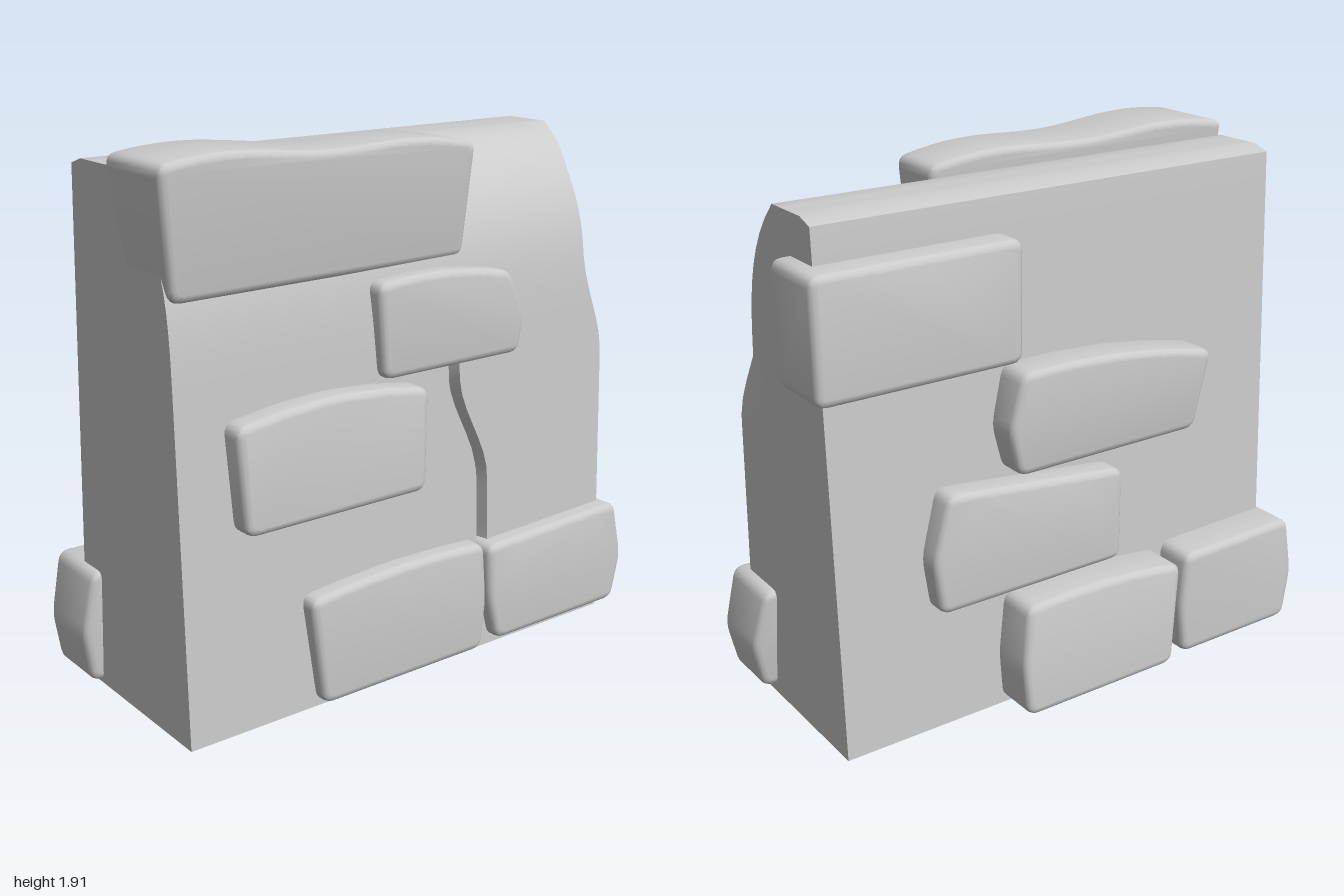
import * as THREE from 'three';
import { toCreasedNormals } from 'three/addons/utils/BufferGeometryUtils.js';

const material = new THREE.MeshStandardMaterial({ color: 0xcccccc });
const { smoothstep, lerp } = THREE.MathUtils;
const HEIGHT = 1.84;

// Tapered slab with a rounded top front, a chipped corner and a crack in the front
function createWall() {
  const columns = [-0.93, -0.6, -0.3, 0, 0.1, 0.225, 0.235, 0.265, 0.275, 0.42, 0.55, 0.68, 0.78, 0.91];
  const last = columns.length - 1;
  const geometry = new THREE.BoxGeometry(1, 1, 1, last, 32, 5);
  const pos = geometry.attributes.position;
  const normal = geometry.attributes.normal;
  for (let i = 0; i < pos.count; i++) {
    const col = Math.round((pos.getX(i) + 0.5) * last);
    const y = (pos.getY(i) + 0.5) * HEIGHT;
    const w = pos.getZ(i) + 0.5;
    let x = columns[col];

    const rounding = 0.25 * Math.max(0, (y - 1.1) / 0.74) ** 4;
    const front = 0.4 - 0.035 * y - rounding;
    const back = lerp(-0.3, -0.22, y / HEIGHT);
    let z = lerp(back, front, w);

    // crack
    if (col >= 5 && col <= 8) {
      x += 0.07 - 0.13 * smoothstep(y, 0.65, 1.05);
      const sunk = (col === 6 || col === 7) && normal.getZ(i) > 0.5;
      if (sunk && y > 0.35 && y < 1.15) z -= 0.05;
    }
    // chipped corner
    if (col === last && w > 0.95) x -= 0.09 * smoothstep(y, 1.02, 1.4) - 0.04 * smoothstep(y, 1.65, 1.84);
    // worn top edges
    const worn = y > HEIGHT - 0.01 && (w < 0.05 || w > 0.95) ? 0.02 : 0;
    pos.setXYZ(i, x, y - worn, z);
  }
  const mesh = new THREE.Mesh(toCreasedNormals(geometry, 0.6), material);
  mesh.name = 'wall';
  return mesh;
}

// Closed outline with softened corners
function softOutline(pts, radius) {
  const shape = new THREE.Shape();
  pts.forEach((p, i) => {
    const prev = pts[(i + pts.length - 1) % pts.length];
    const next = pts[(i + 1) % pts.length];
    const toward = (q) => p.clone().lerp(q, Math.min(0.45, radius / p.distanceTo(q)));
    const a = toward(prev), b = toward(next);
    if (i === 0) shape.moveTo(a.x, a.y);
    else shape.lineTo(a.x, a.y);
    shape.quadraticCurveTo(p.x, p.y, b.x, b.y);
  });
  shape.closePath();
  return shape;
}

// Four-cornered stone face: sides give [bottom x, top x], top gives [left y, right y];
// the top edge bows or waves and the sides may bulge
function stoneOutline(left, right, bottom, top, { bow = 0, wave = 0, bulgeLeft = 0, bulgeRight = 0 }) {
  const pts = [];
  const add = (x, y) => pts.push(new THREE.Vector2(x, y));
  add(left[0], bottom);
  add(right[0], bottom);
  if (bulgeRight) add((right[0] + right[1]) / 2 + bulgeRight, lerp(bottom, top[1], 0.45));
  const steps = wave ? 12 : 4;
  for (let i = steps; i >= 0; i--) {
    const t = i / steps;
    add(lerp(left[1], right[1], t),
      lerp(top[0], top[1], t) + bow * Math.sin(Math.PI * t) - wave * Math.sin(3 * Math.PI * t));
  }
  if (bulgeLeft) add((left[0] + left[1]) / 2 - bulgeLeft, lerp(bottom, top[0], 0.45));
  return softOutline(pts, 0.04);
}

// Bevelled stone between z0 and z1; its outer and inner faces may lean along x and y
function createStone(name, left, right, bottom, top, [z0, z1], options = {}) {
  const { outer = [0, 0], inner = [0, 0] } = options;
  const bevel = 0.025;
  const geometry = new THREE.ExtrudeGeometry(stoneOutline(left, right, bottom, top, options), {
    depth: z1 - z0 - 2 * bevel, bevelThickness: bevel, bevelSize: bevel,
    bevelOffset: -bevel, bevelSegments: 3, curveSegments: 4,
  });
  geometry.translate(0, 0, z0 + bevel);
  geometry.computeBoundingBox();
  const c = geometry.boundingBox.getCenter(new THREE.Vector3());
  const pos = geometry.attributes.position;
  for (let i = 0; i < pos.count; i++) {
    const z = pos.getZ(i);
    const lean = (z > c.z) === (c.z > 0) ? outer : inner;
    pos.setZ(i, z + lean[0] * (pos.getX(i) - c.x) + lean[1] * (pos.getY(i) - c.y));
  }
  const mesh = new THREE.Mesh(toCreasedNormals(geometry, 0.6), material);
  mesh.name = name;
  return mesh;
}

export function createModel() {
  const group = new THREE.Group();
  group.name = 'stoneWall';
  group.add(
    createWall(),
    // front stones
    createStone('frontTopStone', [-0.92, -0.97], [0.245, 0.27], 1.46, [1.885, 1.85], [0.11, 0.365],
      { bow: 0.025, wave: -0.015, outer: [-0.02, 0.08], inner: [0.06, -0.08] }),
    createStone('frontUpperStone', [-0.145, -0.17], [0.46, 0.41], 1.1, [1.43, 1.4], [0.28, 0.405],
      { bow: 0.025, bulgeRight: 0.05 }),
    createStone('frontMiddleStone', [-0.73, -0.755], [0, 0.015], 0.7, [1.065, 1.06], [0.28, 0.45],
      { bow: 0.04, outer: [0, -0.03] }),
    createStone('frontLowerStone', [-0.43, -0.48], [0.28, 0.28], 0.02, [0.415, 0.43], [0.28, 0.45],
      { bow: 0.02, bulgeRight: 0.02 }),
    createStone('frontCornerStone', [0.35, 0.3], [0.96, 0.95], 0.03, [0.41, 0.43], [0.2, 0.45],
      { inner: [0, -0.12], bulgeRight: 0.045, bulgeLeft: 0.015 }),
    // back stones
    createStone('backTopCornerStone', [0.21, 0.21], [0.97, 0.975], 1.28, [1.7, 1.7], [-0.33, -0.06]),
    createStone('backUpperStone', [-0.52, -0.58], [0.25, 0.24], 0.89, [1.18, 1.26], [-0.37, -0.2],
      { bow: 0.03, bulgeRight: 0.045, outer: [0, -0.04] }),
    createStone('backMiddleStone', [-0.2, -0.2], [0.56, 0.52], 0.46, [0.81, 0.89], [-0.355, -0.2],
      { bulgeRight: 0.045 }),
    createStone('backLowerStone', [-0.37, -0.42], [0.28, 0.26], 0.02, [0.4, 0.43], [-0.45, -0.2],
      { bow: 0.02, bulgeRight: 0.02, outer: [0, 0.08] }),
    createStone('backCornerStone', [-0.97, -0.96], [-0.45, -0.45], 0.01, [0.43, 0.42], [-0.43, -0.17],
      { bulgeLeft: 0.035, bulgeRight: 0.02, inner: [0, 0.06] }),
  );
  return group;
}
